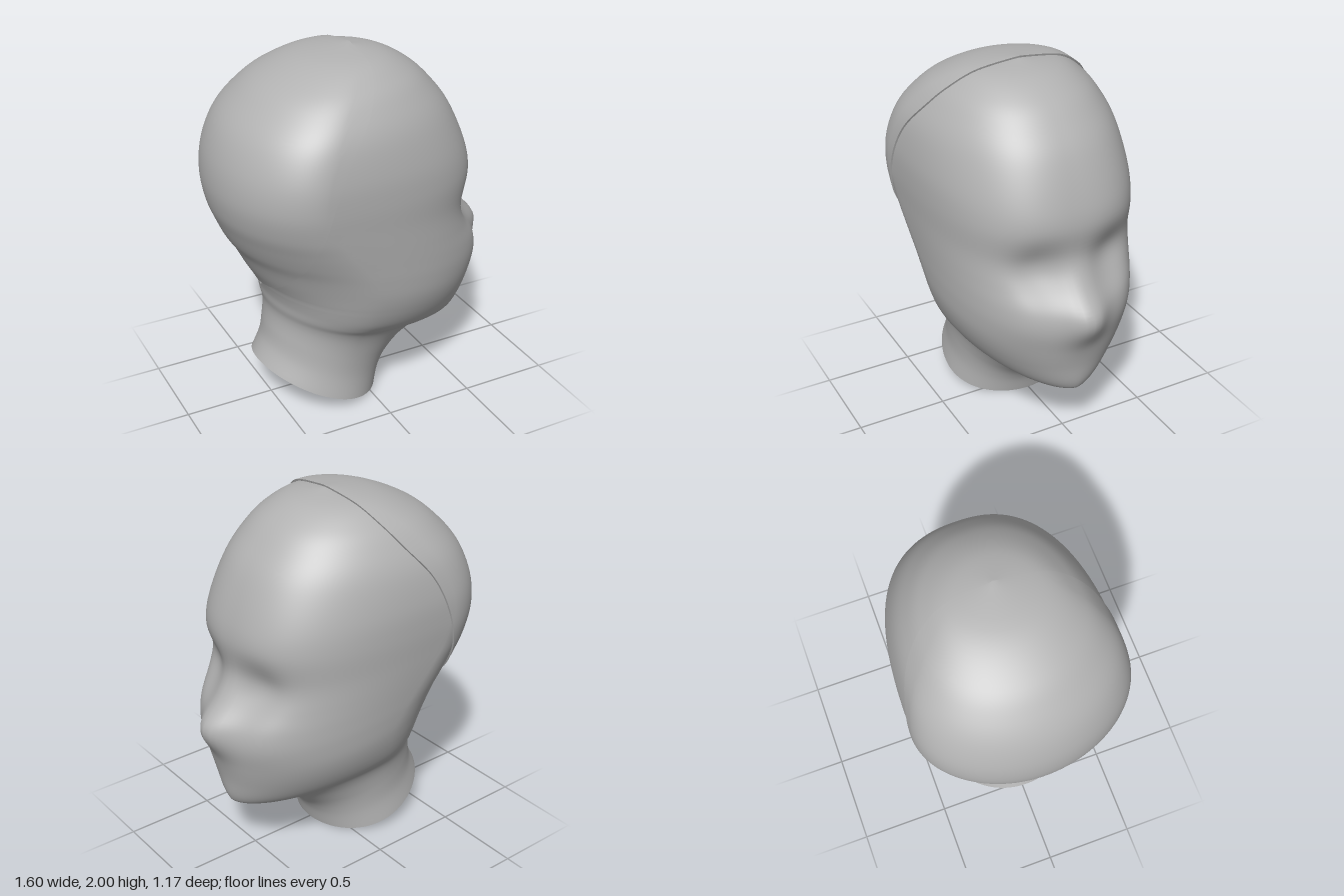
import * as THREE from 'three';
import { mergeVertices } from 'three/addons/utils/BufferGeometryUtils.js';

// Cross-sections: back x, back y, front x, front y, half width, x of widest point, front squareness
const RINGS = [
  [-0.58, 0.25, 0.11, 0.00, 0.36, -0.22, 2.0],
  [-0.53, 0.35, 0.14, 0.10, 0.345, -0.20, 2.0],
  [-0.51, 0.45, 0.20, 0.18, 0.35, -0.18, 1.9],
  [-0.50, 0.52, 0.33, 0.27, 0.365, -0.16, 1.75],
  [-0.50, 0.57, 0.50, 0.32, 0.39, -0.14, 1.6],
  [-0.51, 0.62, 0.62, 0.33, 0.425, -0.12, 1.6],
  [-0.52, 0.68, 0.66, 0.38, 0.46, -0.09, 1.75],
  [-0.55, 0.76, 0.68, 0.50, 0.495, -0.06, 2.0],
  [-0.60, 0.85, 0.70, 0.62, 0.52, -0.05, 2.15],
  [-0.65, 0.95, 0.71, 0.74, 0.535, -0.10, 2.3],
  [-0.70, 1.03, 0.69, 0.86, 0.545, -0.17, 2.45],
  [-0.74, 1.12, 0.65, 0.98, 0.555, -0.25, 2.6],
  [-0.775, 1.22, 0.62, 1.12, 0.565, -0.33, 2.7],
  [-0.79, 1.35, 0.635, 1.30, 0.575, -0.38, 2.7],
  [-0.77, 1.50, 0.60, 1.46, 0.57, -0.37, 2.6],
  [-0.71, 1.65, 0.52, 1.65, 0.535, -0.31, 2.4],
  [-0.61, 1.77, 0.425, 1.78, 0.47, -0.24, 2.3],
  [-0.48, 1.87, 0.32, 1.88, 0.38, -0.16, 2.2],
  [-0.27, 1.955, 0.18, 1.955, 0.24, -0.06, 2.0],
  [0.00, 1.99, 0.00, 1.99, 0.00, 0.00, 2.0],
];
// Seam of the rear skull shell: x at every 0.2 of height, from 0.6 to 2
const SEAM = [-0.59, -0.535, -0.475, -0.42, -0.36, -0.265, -0.11, 0].map(x => [x]);

// Smooth interpolation between the rows of a table
function sample(table, v) {
  const last = table.length - 1;
  const i = Math.max(0, Math.min(Math.floor(v), last - 1)), t = v - i;
  const at = k => table[Math.max(0, Math.min(last, k))];
  return table[i].map((p1, c) => {
    const p0 = at(i - 1)[c], p2 = at(i + 1)[c], p3 = at(i + 2)[c];
    return p1 + 0.5 * t * (p2 - p0 + t * (2 * p0 - 5 * p1 + 4 * p2 - p3 + t * (3 * (p1 - p2) + p3 - p0)));
  });
}

const bump = (d, s) => Math.exp(-(d * d) / (2 * s * s));

// Head surface: a = 0 at the face, PI at the back of the skull
function surface(a, v) {
  const [bx, by, fx, fy, w, mx, n] = sample(RINGS, v);
  const c = Math.cos(a), s = Math.sin(a), e = c > 0 ? 2 / n : 1;
  let x = c > 0 ? mx + (fx - mx) * Math.pow(c, e) : mx + (mx - bx) * c;
  const z = w * Math.sign(s) * Math.pow(Math.abs(s), e);
  let y = fx - bx > 1e-4 ? by + (fy - by) * (x - bx) / (fx - bx) : by;
  y -= 0.045 * Math.max(0, 1 - v / 2) * s * s;                             // sagging neck rim
  if (c > 0) {
    const az = Math.abs(z);
    x += 0.105 * bump(y - 0.84, y > 0.84 ? 0.085 : 0.1) * bump(z, 0.09);   // nose tip
    x += 0.025 * bump(y - 1.0, 0.08) * bump(z, 0.07);                      // nose bridge
    x -= 0.055 * bump(y - 1.08, 0.1) * bump(az - 0.22, 0.1) * c;           // eye sockets
    x += 0.02 * bump(y - 0.85, 0.11) * bump(az - 0.3, 0.1) * c;            // cheeks
  }
  return new THREE.Vector3(x, y, z);
}

// Grid of quads over a point function of (u, v) in 0..1, welded where its edges meet
function grid(fn, nu, nv) {
  const pos = [], idx = [], cols = nu + 1;
  for (let j = 0; j <= nv; j++)
    for (let i = 0; i <= nu; i++) pos.push(...fn(i / nu, j / nv).toArray());
  for (let j = 0; j < nv; j++)
    for (let i = 0; i < nu; i++) {
      const a = j * cols + i, b = a + 1, c = a + cols, d = b + cols;
      idx.push(a, c, b, b, c, d);
    }
  let g = new THREE.BufferGeometry();
  g.setAttribute('position', new THREE.Float32BufferAttribute(pos, 3));
  g.setIndex(idx);
  g = mergeVertices(g, 1e-5);
  g.computeVertexNormals();
  return g;
}

// Angle at which a cross-section crosses the seam
function seamAngle(v) {
  let lo = 0, hi = Math.PI;
  for (let k = 0; k < 30; k++) {
    const m = (lo + hi) / 2, p = surface(m, v);
    if (p.x > sample(SEAM, Math.max(0, (p.y - 0.6) / 0.2))[0]) lo = m; else hi = m;
  }
  return hi;
}

export function createModel() {
  const group = new THREE.Group();
  const grey = new THREE.MeshStandardMaterial({ color: 0xb2b2b2, side: THREE.DoubleSide });
  grey.name = 'plain grey';
  const add = (name, geometry) => {
    const mesh = new THREE.Mesh(geometry, grey);
    mesh.name = name;
    group.add(mesh);
  };
  const top = RINGS.length - 1;

  // Face and open neck in one smooth skin, ending at the seam
  add('head', grid((u, v) => surface((2 * u - 1) * seamAngle(v * top), v * top), 96, 114));

  // Hollow rear skull shell, slightly proud of the head, with a rim at the seam
  const first = 6.5, centre = new THREE.Vector3(-0.2, 1.3, 0);
  const shell = lift => (u, v) => {
    const r = first + v * (top - first), a0 = seamAngle(r);
    const p = surface(a0 + u * 2 * (Math.PI - a0), r);
    return p.sub(centre).multiplyScalar(1 + lift).add(centre);
  };
  add('skullShell', grid(shell(0.015), 60, 70));
  for (const side of [0, 1])
    add('shellRim', grid((u, v) => shell(0.015 * u)(side, v), 1, 70));

  return group;
}
